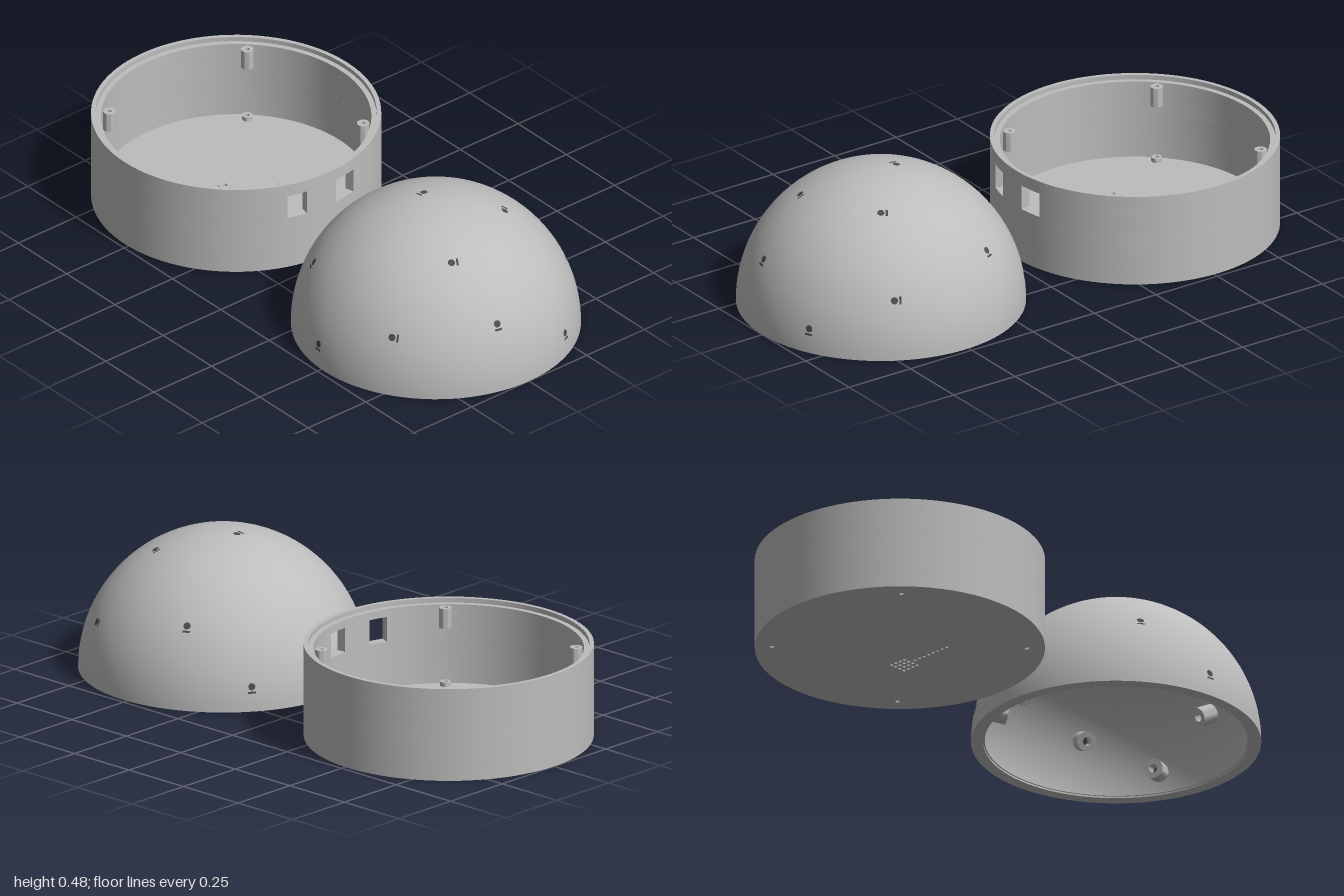
import * as THREE from 'three';
import { toCreasedNormals } from 'three/addons/utils/BufferGeometryUtils.js';

const R = 0.483, CENTRE = 0.517, SEG = 96;
const DEG = Math.PI / 180;

export function createModel() {
  const grey = new THREE.MeshStandardMaterial({ color: 0xbdbdbd });
  grey.name = 'plastic grey';
  const dark = new THREE.MeshStandardMaterial({ color: 0x4c4c4c });
  dark.name = 'hole grey';

  const mesh = (name, geometry, parent, material = grey) => {
    const m = new THREE.Mesh(geometry, material);
    m.name = name;
    parent.add(m);
    return m;
  };
  const lathe = (points, segments = SEG, start = 0, length = Math.PI * 2) =>
    toCreasedNormals(new THREE.LatheGeometry(
      points.map(([r, y]) => new THREE.Vector2(r, y)), segments, start, length), 35 * DEG);
  // closed ring profile, outer side going up
  const ring = (inner, outer, y0, y1) =>
    [[inner, y0], [outer, y0], [outer, y1], [inner, y1], [inner, y0]];

  const model = new THREE.Group();
  model.name = 'domeEnclosure';

  // ---- Dome ----
  const dome = new THREE.Group();
  dome.name = 'dome';
  dome.position.z = CENTRE;
  model.add(dome);

  const inner = 0.437, profile = [[inner, 0.006], [inner + 0.005, 0.006], [inner + 0.005, 0], [R, 0]];
  for (let i = 1; i <= 32; i++) {
    const a = i / 32 * Math.PI / 2;
    profile.push([i === 32 ? 0 : R * Math.cos(a), R * Math.sin(a)]);
  }
  for (let i = 32; i >= 1; i--) {
    const a = i / 32 * Math.PI / 2;
    profile.push([i === 32 ? 0 : inner * Math.cos(a), inner * Math.sin(a)]);
  }
  profile.push([inner, 0.006]);
  mesh('domeShell', lathe(profile), dome);

  // Sensor ports: azimuth in degrees, height, slot beside (true) or below (false)
  const ports = [
    [24.6, 0.085, false], [145, 0.085, false], [265, 0.085, false],
    [60.6, 0.2, true], [180, 0.2, true], [300.6, 0.2, true],
    [-11.4, 0.228, false], [116, 0.27, false], [235.5, 0.26, false],
    [54.6, 0.425, true], [-29, 0.4, true], [180, 0.479, true],
  ];
  const bossShape = lathe(ring(0.014, 0.033, 0.375, 0.445), 24);
  const disc = new THREE.CircleGeometry(0.012, 24);
  const slot = new THREE.PlaneGeometry(0.026, 0.007);
  const innerDisc = new THREE.CircleGeometry(0.016, 20).rotateX(Math.PI / 2);
  for (const [azimuth, height, beside] of ports) {
    const port = new THREE.Group();
    port.name = 'sensorPort';
    // local frame: z points outwards, -y runs down the dome
    port.rotation.set(-Math.asin(height / R), azimuth * DEG, 0, 'YXZ');
    dome.add(port);
    mesh('portHole', disc, port, dark).position.z = R + 0.0007;
    const slit = new THREE.Group();
    slit.name = 'slotMount';
    slit.rotation.z = beside ? Math.PI / 2 : 0;
    port.add(slit);
    mesh('portSlot', slot, slit, dark).position.set(0, -0.02, R + 0.0005);
    const boss = new THREE.Group();
    boss.name = 'bossMount';
    boss.rotation.x = Math.PI / 2;
    port.add(boss);
    mesh('portBoss', bossShape, boss);
    mesh('bossBore', innerDisc, boss, dark).position.y = 0.42;
  }

  // ---- Base ----
  const base = new THREE.Group();
  base.name = 'base';
  base.position.z = -CENTRE;
  model.add(base);

  // Floor with small vents and screw holes
  const floorTop = 0.03;
  const floor = new THREE.Shape().absarc(0, 0, R, 0, Math.PI * 2);
  const drill = (x, z, r) =>
    floor.holes.push(new THREE.Path().absarc(x, -z, r, 0, Math.PI * 2, true));
  for (let i = 0; i < 8; i++) drill(-0.115 + i * 0.021, 0.107, 0.0055);
  for (let i = 0; i < 4; i++)
    for (let j = 0; j < 4; j++) drill(0.054 + i * 0.02, 0.08 + j * 0.02, 0.0065);
  const corners = [45, 135, 225, 315].map(a => [0.424 * Math.sin(a * DEG), 0.424 * Math.cos(a * DEG)]);
  for (const [x, z] of corners) drill(x, z, 0.008);
  const floorGeometry = new THREE.ExtrudeGeometry(floor,
    { depth: floorTop, bevelEnabled: false, curveSegments: SEG / 2 });
  floorGeometry.rotateX(-Math.PI / 2);
  mesh('floor', toCreasedNormals(floorGeometry, 35 * DEG), base);

  // Wall: lower band, middle band broken by two windows, upper band with stepped lip
  const inside = 0.45, low = 0.192, high = 0.278;
  mesh('lowerWall', lathe(ring(inside, R, floorTop, low)), base);
  mesh('upperWall', lathe([[inside, high], [R, high], [R, 0.322], [0.468, 0.322],
    [0.468, 0.306], [inside, 0.306], [inside, high]]), base);
  const windows = [[-19.3, -10.7], [3.4, 13.8]];
  const spans = [[windows[0][1], windows[1][0], 4], [windows[1][1], windows[0][0] + 360, 92]];
  for (const [from, to, segments] of spans)
    mesh('middleWall', lathe(ring(inside, R, low, high), segments, from * DEG, (to - from) * DEG), base);
  for (const [from, to] of windows) {
    for (const [angle, flip] of [[from, 1], [to, -1]]) {
      const jamb = new THREE.PlaneGeometry(R - inside, high - low);
      if (flip > 0) jamb.rotateY(Math.PI);
      jamb.translate((R + inside) / 2, (low + high) / 2, 0);
      // swing the radial plane so that its x axis follows the window edge
      jamb.rotateY(angle * DEG - Math.PI / 2);
      if (flip > 0) jamb.computeVertexNormals();
      const m = mesh('windowJamb', jamb, base, grey);
      m.updateMatrix();
    }
  }
  grey.side = THREE.DoubleSide;
  dark.side = THREE.DoubleSide;

  // Screw posts under the lip and matching collars on the floor
  const post = lathe(ring(0.008, 0.021, 0.235, 0.304), 24);
  const collar = lathe(ring(0.008, 0.018, floorTop, 0.045), 24);
  for (const [x, z] of corners) {
    mesh('screwPost', post, base).position.set(x, 0, z);
    mesh('floorCollar', collar, base).position.set(x, 0, z);
  }
  return model;
}
